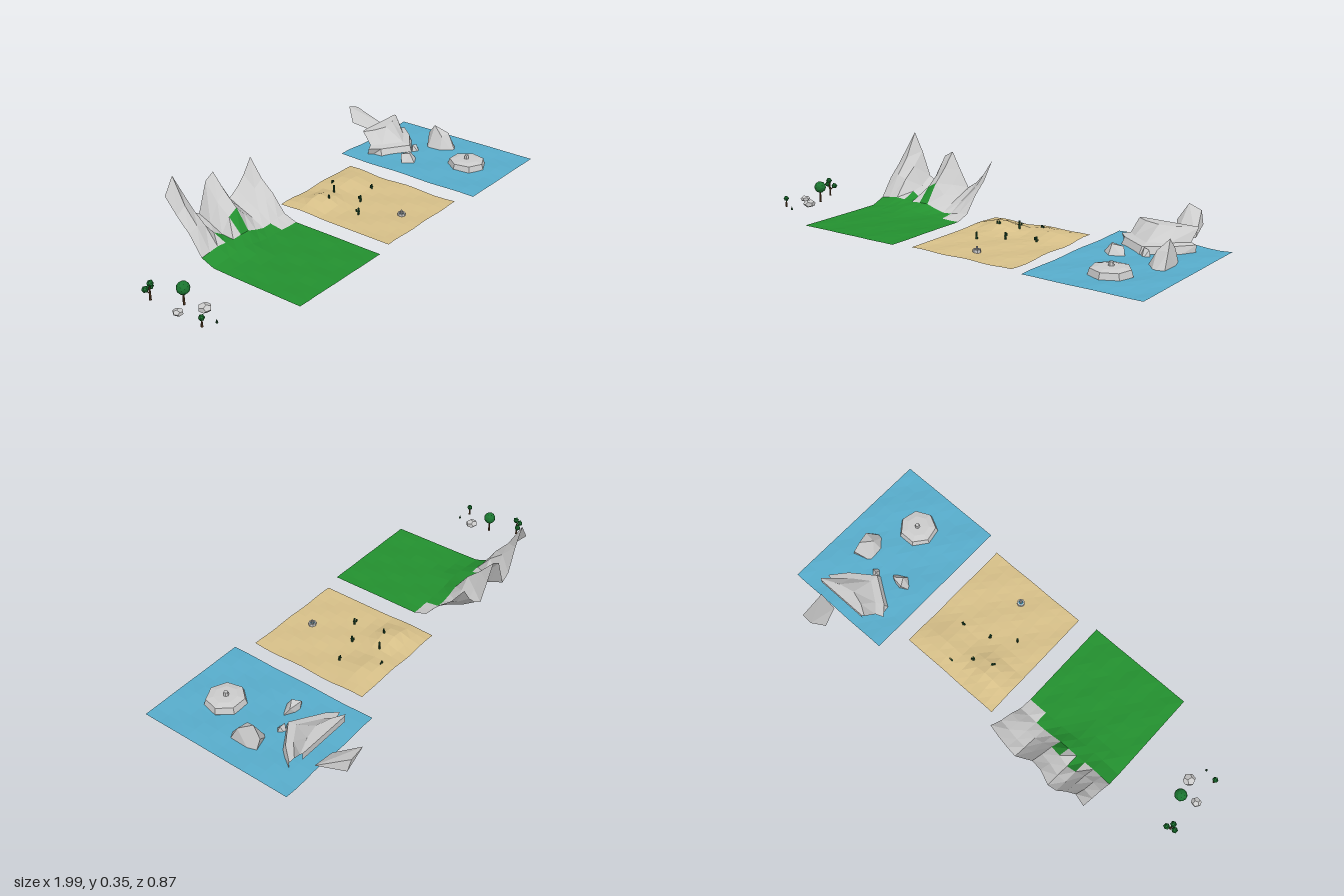
import * as THREE from 'three';
import { ConvexGeometry } from 'three/addons/geometries/ConvexGeometry.js';

const mat = (color, side = THREE.FrontSide) =>
  new THREE.MeshStandardMaterial({ color, side, flatShading: true });
const stone = mat(0xcccccc);
const stoneSheet = mat(0xcccccc, THREE.DoubleSide);
const grass = mat(0x23902f, THREE.DoubleSide);
const sand = mat(0xd6bf88, THREE.DoubleSide);
const water = mat(0x57accb, THREE.DoubleSide);
const leaf = mat(0x1b7530);
const bark = mat(0x5c4026);
const cactusGreen = mat(0x1d4a2a);
const wellWater = mat(0x3f8fb0);

// Builds a surface between rows of points; keep(i, j) selects cells
function sheet(rows, keep = () => true) {
  const pos = [], index = [], n = rows[0].length;
  rows.forEach(r => r.forEach(p => pos.push(...p)));
  for (let j = 0; j < rows.length - 1; j++)
    for (let i = 0; i < n - 1; i++) {
      if (!keep(i, j)) continue;
      const a = j * n + i, b = a + n;
      index.push(a, b, a + 1, a + 1, b, b + 1);
    }
  const g = new THREE.BufferGeometry();
  g.setAttribute('position', new THREE.Float32BufferAttribute(pos, 3));
  g.setIndex(index);
  const flat = g.toNonIndexed();
  flat.computeVertexNormals();
  return flat;
}

// Grid of points over a rectangle, height(x, z, i, j)
function field(x0, x1, z0, z1, n, height) {
  return Array.from({ length: n + 1 }, (_, j) =>
    Array.from({ length: n + 1 }, (_, i) => {
      const x = x0 + (x1 - x0) * i / n, z = z0 + (z1 - z0) * j / n;
      return [x, height(x, z, i, j), z];
    }));
}

export function createModel() {
  const root = new THREE.Group();
  const add = (name, geometry, material, x = 0, y = 0, z = 0, parent = root) => {
    const m = new THREE.Mesh(geometry, material);
    m.name = name;
    m.position.set(x, y, z);
    parent.add(m);
    return m;
  };
  const hull = (name, pts) =>
    add(name, new ConvexGeometry(pts.map(p => new THREE.Vector3(...p))), stone);
  const bump = (x, z, cx, cz, rx, rz) =>
    Math.exp(-(((x - cx) / rx) ** 2) - ((z - cz) / rz) ** 2);

  // Meadow rising into a mountain ridge along the back edge
  const ridge = [0.28, 0.35, 0.27, 0.16, 0.13, 0.26, 0.29, 0.21, 0.13, 0.16, 0.21, 0.275];
  const rise = [1, 0.71, 0.46, 0.1];
  const meadow = field(-0.66, -0.165, -0.275, 0.41, 11, (x, z, i, j) => {
    const ground = 0.043 + 0.025 * bump(x, z, -0.5, -0.07, 0.1, 0.09)
      + 0.003 * Math.sin(i * 1.7) * Math.cos(j * 1.3);
    return ground + (ridge[i] - 0.045) * (rise[j] || 0) * (j ? 1 - 0.1 * (i % 2) : 1);
  });
  const rocky = (i, j) => j < 2 || (j === 2 && i !== 3 && i !== 5) || (j === 3 && i > 8);
  meadow[2][4][1] -= 0.015;
  add('mountains', sheet(meadow, rocky), stoneSheet);
  add('meadow', sheet(meadow, (i, j) => !rocky(i, j)), grass);

  // Desert with low dunes
  add('desert', sheet(field(-0.08, 0.41, -0.18, 0.39, 11, (x, z, i, j) =>
    0.043 + 0.035 * bump(x, z, 0.04, -0.06, 0.09, 0.07)
    + 0.022 * bump(x, z, 0.28, -0.1, 0.1, 0.08)
    + 0.004 * Math.sin(i * 1.3) * Math.sin(j * 1.1 + 1))), sand);

  // Rippled lake
  add('lake', sheet(field(0.485, 0.995, -0.29, 0.435, 10, (x, z, i, j) =>
    0.051 + 0.004 * Math.sin(i * 1.2 + 0.5) * Math.cos(j * 1.4))), water);

  // Cacti
  [[0.205, -0.125, 0.025], [0.135, -0.06, 0.038], [0.155, 0.07, 0.03],
    [0.055, 0.135, 0.03], [0.285, 0.035, 0.025], [0.055, -0.025, 0.02]].forEach(([x, z, h], k) => {
    const base = 0.042 + 0.03 * bump(x, z, 0.04, -0.06, 0.09, 0.07);
    const g = new THREE.Group();
    g.name = 'cactus';
    g.position.set(x, base, z);
    g.rotation.y = k * 0.8;
    add('cactusStem', new THREE.CylinderGeometry(0.004, 0.005, h, 6), cactusGreen, 0, h / 2, 0, g);
    add('cactusArm', new THREE.BoxGeometry(0.018, 0.004, 0.005), cactusGreen, 0.002, h * 0.5, 0, g);
    add('cactusTip', new THREE.CylinderGeometry(0.003, 0.003, 0.01, 5), cactusGreen, 0.009, h * 0.5 + 0.005, 0, g);
    root.add(g);
  });

  // Well in the desert
  const wellWall = [[0.011, 0], [0.017, 0], [0.017, 0.016], [0.011, 0.016], [0.011, 0]]
    .map(p => new THREE.Vector2(...p));
  add('wellWall', new THREE.LatheGeometry(wellWall, 8), stone, 0.165, 0.037, 0.28);
  add('wellWater', new THREE.CylinderGeometry(0.011, 0.011, 0.008, 8), wellWater, 0.165, 0.043, 0.28);
  add('wellPost', new THREE.CylinderGeometry(0.004, 0.004, 0.02, 6), stone, 0.165, 0.055, 0.28);

  // Flat island, open underneath
  const shore = [[0.078, 0.035], [0.088, 0.05], [0.08, 0.077], [0.05, 0.083], [0, 0.084]]
    .map(p => new THREE.Vector2(...p));
  add('island', new THREE.LatheGeometry(shore, 7), stone, 0.75, 0, 0.236);
  add('islandPillar', new THREE.CylinderGeometry(0.009, 0.012, 0.018, 6), stone, 0.75, 0.091, 0.233);

  // Stepped cliff: rows climb the front, cross the top and fold under at the back
  const ring = (y, pts) => pts.map(([x, z]) => [x, y, z]);
  const backX = [0.61, 0.66, 0.72, 0.79, 0.86];
  const cliff = [
    ring(0.025, [[0.57, -0.2], [0.58, -0.12], [0.71, -0.035], [0.82, -0.11], [0.88, -0.2]]),
    ring(0.08, [[0.556, -0.185], [0.594, -0.142], [0.717, -0.061], [0.82, -0.136], [0.88, -0.206]]),
    ring(0.086, [[0.59, -0.2], [0.63, -0.16], [0.715, -0.1], [0.79, -0.15], [0.855, -0.21]]),
    ring(0.138, [[0.6, -0.25], [0.65, -0.22], [0.715, -0.2], [0.785, -0.215], [0.866, -0.25]]),
    ring(0.14, backX.map(x => [x, -0.256])),
    ring(0.11, backX.map(x => [x, -0.255])),
    ring(0.08, backX.map(x => [x, -0.206])),
  ];
  add('cliff', sheet(cliff.reverse()), stone);

  // Loose boulders round the lake
  hull('leaningSlab', [[0.745, 0.08, -0.3], [0.835, 0.08, -0.29], [0.73, 0.18, -0.435],
    [0.79, 0.16, -0.43], [0.7, 0.115, -0.39], [0.805, 0.105, -0.42]]);
  hull('peakBoulder', [[0.79, 0.015, 0.06], [0.85, 0.013, 0.125], [0.895, 0.012, 0.1],
    [0.9, 0.003, -0.04], [0.79, 0.03, -0.013], [0.86, 0.147, -0.017], [0.835, 0.11, 0.04],
    [0.885, 0.115, 0.045], [0.866, 0.1, -0.052]]);
  hull('lowBoulder', [[0.565, 0.03, 0], [0.62, 0.03, 0.045], [0.685, 0.03, 0.01],
    [0.62, 0.03, -0.03], [0.6, 0.085, -0.03], [0.62, 0.09, 0.005], [0.66, 0.08, -0.02]]);
  hull('smallBoulder', [[0.715, 0.035, -0.045], [0.74, 0.035, -0.015], [0.768, 0.035, -0.04],
    [0.74, 0.035, -0.07], [0.73, 0.08, -0.055], [0.755, 0.075, -0.05]]);

  // Trees: [x, z, trunk height, leaf clumps as dx, y, dz, radius]
  [[-0.91, 0.065, 0.055, [[0, 0.11, 0, 0.027]]],
    [-0.965, -0.055, 0.06, [[0, 0.112, 0.005, 0.014], [-0.018, 0.09, -0.005, 0.014], [0.016, 0.085, -0.014, 0.014]]],
    [-0.975, 0.22, 0.028, [[0, 0.077, 0, 0.013]]]].forEach(([x, z, h, clumps]) => {
    const g = new THREE.Group();
    g.name = 'tree';
    g.position.set(x, 0, z);
    add('trunk', new THREE.CylinderGeometry(0.003, 0.005, h, 6), bark, 0, 0.038 + h / 2, 0, g);
    clumps.forEach(([dx, y, dz, r]) => {
      add('foliage', new THREE.IcosahedronGeometry(r, r > 0.02 ? 1 : 0), leaf, dx, y, dz, g);
      if (!dx) return;
      const branch = new THREE.LineCurve3(new THREE.Vector3(0, 0.065, 0), new THREE.Vector3(dx, y, dz));
      add('branch', new THREE.TubeGeometry(branch, 1, 0.0025, 5), bark, 0, 0, 0, g);
    });
    root.add(g);
  });
  add('sapling', new THREE.ConeGeometry(0.006, 0.016, 5), cactusGreen, -0.92, 0.044, 0.24);

  // Stones beside the trees
  [[-0.975, 0.1, 0.022, 0.4], [-0.893, 0.155, 0.028, 1.3]].forEach(([x, z, r, turn]) => {
    const m = add('stone', new THREE.DodecahedronGeometry(r, 0), stone, x, 0.052, z);
    m.scale.y = 0.65;
    m.rotation.y = turn;
  });
  return root;
}
